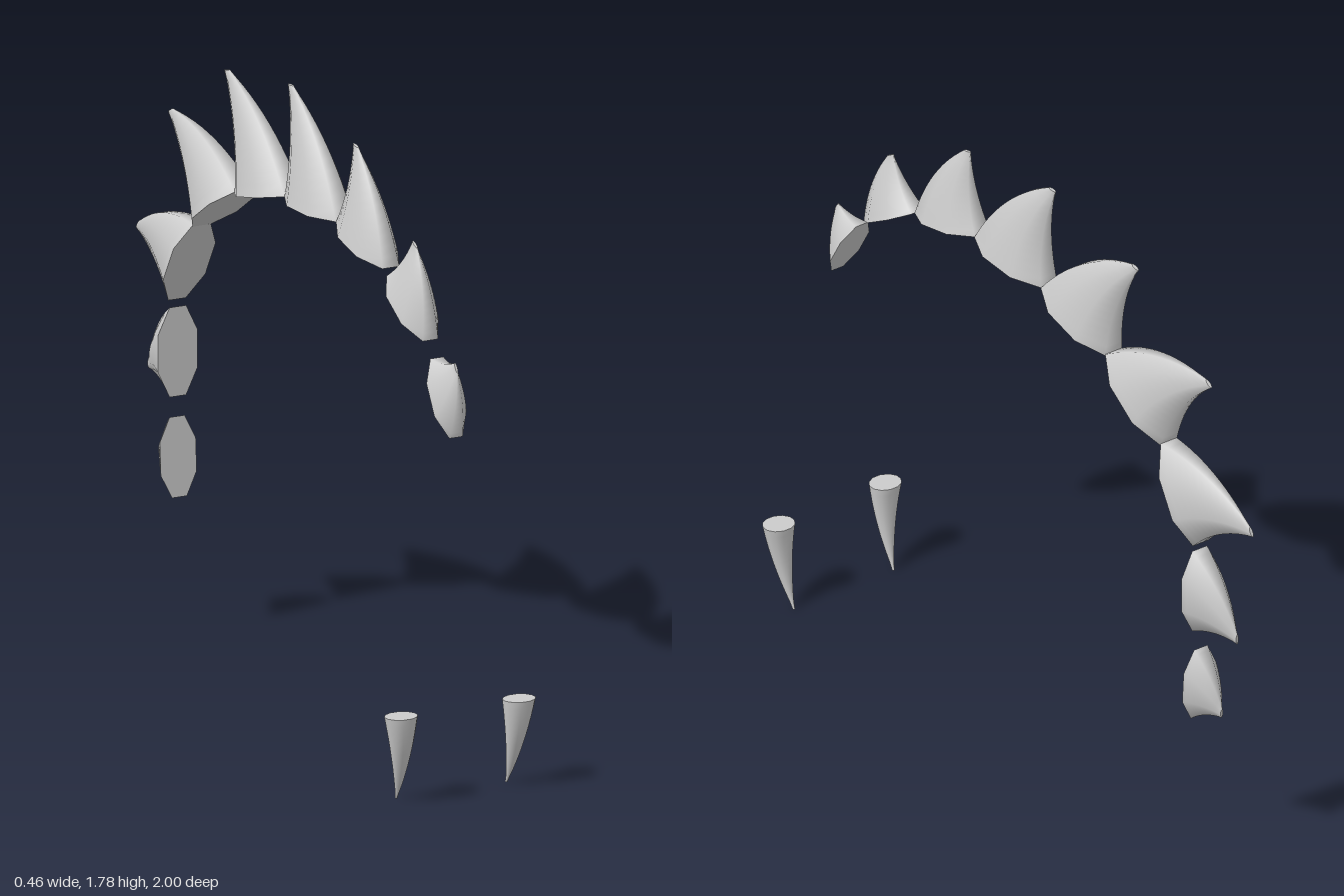
import * as THREE from 'three';

const horn = new THREE.MeshStandardMaterial({ color: 0xcccccc });
horn.name = 'horn grey';

// Curved spike in the z/y plane: convex edge from a to the tip, concave edge from b to the tip.
// a, b and tip are [z, y]; w is the half width in x; x0 and x1 are the root and tip offsets.
function spike(name, a, b, tip, w, { x0 = 0, x1 = 0, sides = 8, blunt = 0.028, bend = 0.15 } = {}) {
  const A = new THREE.Vector2(...a), B = new THREE.Vector2(...b), T = new THREE.Vector2(...tip);
  const along = A.clone().sub(B).normalize();
  const mid = A.clone().add(B).multiplyScalar(0.5);
  const sign = Math.sign(along.cross(T.clone().sub(mid)));
  const edge = (from, to) => {
    const d = to.clone().sub(from);
    const bulge = new THREE.Vector2(d.y, -d.x).multiplyScalar(bend * sign);
    return new THREE.QuadraticBezierCurve(from, from.clone().add(to).multiplyScalar(0.5).add(bulge), to);
  };
  const front = edge(A, T.clone().addScaledVector(along, blunt)), rear = edge(B, T);

  const pos = [], index = [], rows = 12, grow = 1 / Math.cos(Math.PI / sides);
  const ring = (t) => {
    const p = front.getPoint(t), q = rear.getPoint(t);
    const c = p.clone().add(q).multiplyScalar(0.5), h = p.sub(q).multiplyScalar(0.5);
    const half = w * sign * Math.max(0.07, Math.pow(1 - t, 0.9));
    for (let i = 0; i < sides; i++) {
      const k = ((i + 0.5) / sides) * Math.PI * 2;
      const l = Math.cos(k) * grow, s = Math.sin(k) * grow;
      pos.push(THREE.MathUtils.lerp(x0, x1, t) + half * s, c.y + h.y * l, c.x + h.x * l);
    }
  };
  // Side wall
  for (let r = 0; r <= rows; r++) ring(r / rows);
  for (let r = 0; r < rows; r++) for (let i = 0; i < sides; i++) {
    const j = (i + 1) % sides, m = r * sides, n = m + sides;
    index.push(m + i, m + j, n + j, m + i, n + j, n + i);
  }
  // Flat root and blunt tip, with their own vertices for crisp edges
  for (const t of [0, 1]) {
    const s = pos.length / 3;
    ring(t);
    for (let i = 1; i < sides - 1; i++) {
      if (t) index.push(s, s + i, s + i + 1);
      else index.push(s, s + i + 1, s + i);
    }
  }
  const geo = new THREE.BufferGeometry();
  geo.setAttribute('position', new THREE.Float32BufferAttribute(pos, 3));
  geo.setIndex(index);
  geo.computeVertexNormals();
  const mesh = new THREE.Mesh(geo, horn);
  mesh.name = name;
  return mesh;
}

export function createModel() {
  const model = new THREE.Group();
  model.name = 'spikesAndFangs';

  // Arched row of back spikes, from front to rear
  const crest = new THREE.Group();
  crest.name = 'crest';
  const spikes = [
    [[0.935, 1.03], [0.82, 1.23], [0.93, 1.245], 0.05],
    [[0.78, 1.27], [0.56, 1.4], [0.675, 1.53], 0.058],
    [[0.54, 1.415], [0.26, 1.475], [0.315, 1.715], 0.064],
    [[0.26, 1.475], [-0.05, 1.463], [-0.08, 1.78], 0.068],
    [[-0.05, 1.463], [-0.35, 1.39], [-0.465, 1.715], 0.07],
    [[-0.35, 1.395], [-0.605, 1.225], [-0.805, 1.5], 0.07],
    [[-0.605, 1.23], [-0.755, 0.97], [-0.998, 1.11], 0.066],
    [[-0.75, 0.95], [-0.75, 0.69], [-0.925, 0.725], 0.062],
    [[-0.755, 0.63], [-0.74, 0.4], [-0.852, 0.45], 0.056],
  ];
  spikes.forEach(([a, b, t, w], i) => crest.add(spike(`backSpike${i + 1}`, a, b, t, w)));
  model.add(crest);

  // Pair of hanging fangs
  for (const s of [1, -1]) {
    model.add(spike(s > 0 ? 'leftFang' : 'rightFang', [1, 0.255], [0.92, 0.255], [0.902, 0], 0.047,
      { x0: s * 0.184, x1: s * 0.172, sides: 12, blunt: 0.008, bend: 0.1 }));
  }
  return model;
}
